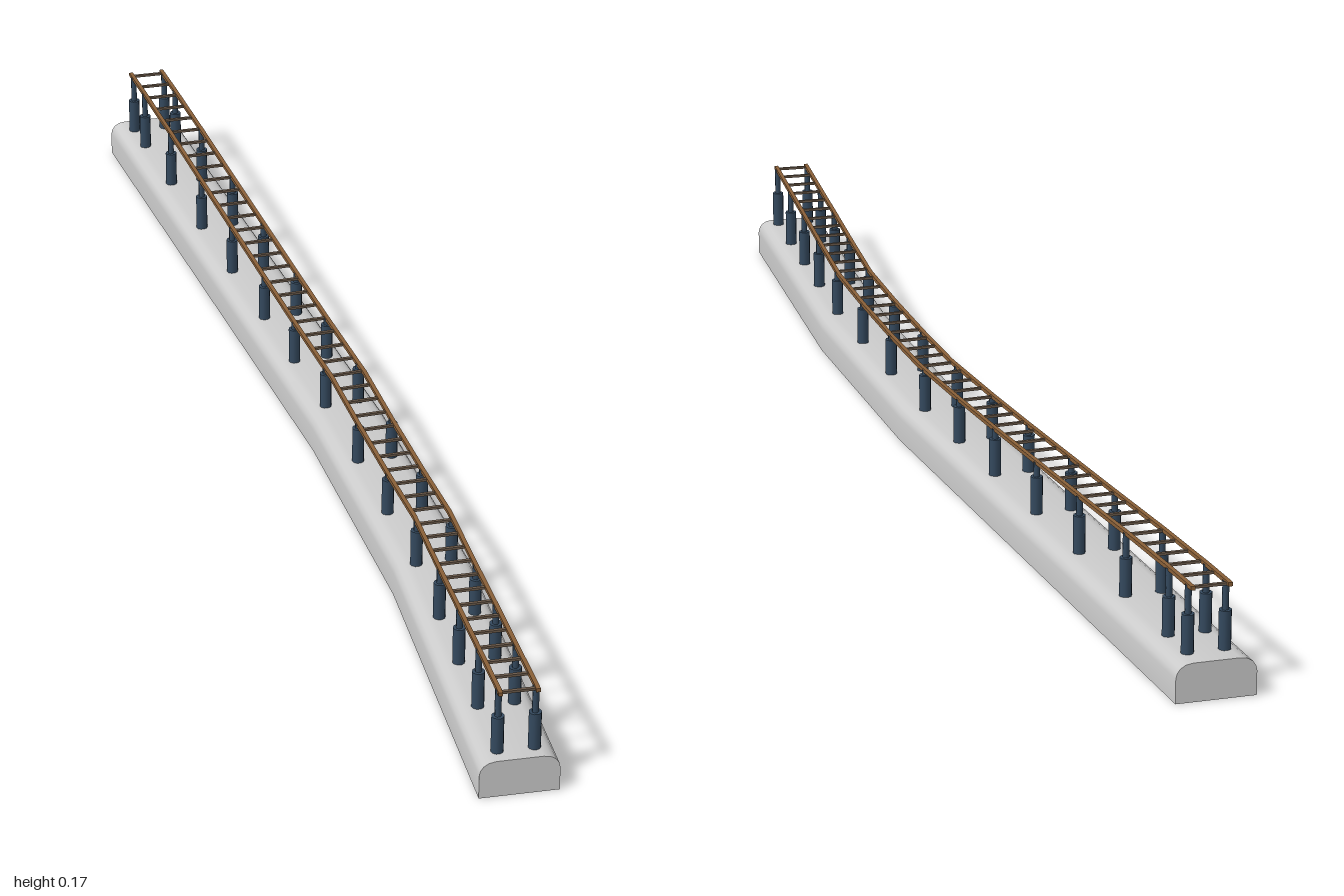
import * as THREE from 'three';
import { toCreasedNormals } from 'three/addons/utils/BufferGeometryUtils.js';

const grey = new THREE.MeshStandardMaterial({ color: 0xcccccc });
const steel = new THREE.MeshStandardMaterial({ color: 0x34495e });
const rust = new THREE.MeshStandardMaterial({ color: 0x8a6038 });
const wood = new THREE.MeshStandardMaterial({ color: 0x6b5a4a });

// Bend points of the track bed, back to front: centre x, z and half-width vector x, z
const NODES = [
  [-0.478, -0.976, 0.0555, -0.024],
  [0.066, 0.027, 0.0535, -0.0275],
  [0.264, 0.445, 0.055, -0.024],
  [0.469, 0.969, 0.0555, -0.0215],
];
// Rail height along z; a pair of posts stands at every entry
const HEIGHTS = [
  [-0.942, 0.164], [-0.882, 0.163], [-0.743, 0.158], [-0.585, 0.15], [-0.433, 0.143],
  [-0.278, 0.136], [-0.139, 0.131], [0, 0.128], [0.166, 0.126], [0.316, 0.128],
  [0.46, 0.134], [0.604, 0.142], [0.722, 0.15], [0.834, 0.157], [0.944, 0.164],
];
const RAIL = 0.46; // sideways place of rails and posts, 1 = bed edge

// Linear interpolation in a table of rows, keyed by one column
function sample(table, key, value) {
  let i = 0;
  while (i < table.length - 2 && value > table[i + 1][key]) i++;
  const a = table[i], b = table[i + 1];
  const t = (value - a[key]) / (b[key] - a[key]);
  return a.map((v, k) => v + (b[k] - v) * t);
}
const station = (z) => sample(NODES, 1, z);
const railY = (z) => Math.min(0.164, sample(HEIGHTS, 0, z)[1]);

// Point at sideways place u (-1..1) and height y of a station
const place = ([x, z, ax, az], u, y) => [x + u * ax, y, z + u * az];

// Closed convex profile [u, y] swept through stations; lift gives the height offset
function sweep(profile, stations, lift = () => 0) {
  const rings = stations.map((s) => profile.map(([u, y]) => place(s, u, y + lift(s[1]))));
  const n = profile.length;
  const pos = [];
  const tri = (...p) => p.forEach((v) => pos.push(...v));
  for (let s = 0; s < rings.length - 1; s++) {
    const a = rings[s], b = rings[s + 1];
    for (let i = 0; i < n; i++) {
      const j = (i + 1) % n;
      tri(b[i], a[i], b[j]);
      tri(a[i], a[j], b[j]);
    }
  }
  const back = rings[0], front = rings[rings.length - 1];
  for (let i = 1; i < n - 1; i++) {
    tri(front[0], front[i], front[i + 1]);
    tri(back[0], back[i + 1], back[i]);
  }
  const geo = new THREE.BufferGeometry();
  geo.setAttribute('position', new THREE.Float32BufferAttribute(pos, 3));
  return toCreasedNormals(geo, 0.6);
}

export function createModel() {
  const model = new THREE.Group();
  const add = (name, geo, mat, parent = model) => {
    const mesh = new THREE.Mesh(geo, mat);
    mesh.name = name;
    parent.add(mesh);
    return mesh;
  };
  const group = (name) => {
    const g = new THREE.Group();
    g.name = name;
    model.add(g);
    return g;
  };

  // Bed with rounded shoulders
  const shoulder = [[1, 0], [1, 0.038], [0.97, 0.046], [0.89, 0.053], [0.76, 0.058], [0.58, 0.06]];
  const mirrored = shoulder.map(([u, y]) => [-u, y]).reverse();
  add('bed', sweep([...shoulder, ...mirrored], NODES), grey);

  // Two rails following the bends and heights
  const stops = [-0.957, ...HEIGHTS.map((h) => h[0]), NODES[1][1], NODES[2][1], 0.957];
  stops.sort((a, b) => a - b);
  for (const side of [-1, 1]) {
    const u = side * RAIL, w = 0.055, h = 0.003;
    const section = [[u - w, -h], [u + w, -h], [u + w, h], [u - w, h]];
    add(side > 0 ? 'leftRail' : 'rightRail', sweep(section, stops.map(station), railY), rust);
  }

  // Rungs between the rails
  const rungs = group('rungs');
  const COUNT = 48;
  for (let i = 0; i < COUNT; i++) {
    const s = station(-0.95 + (1.9 * i) / (COUNT - 1));
    const length = 2 * RAIL * Math.hypot(s[2], s[3]);
    const rung = add('rung', new THREE.BoxGeometry(length, 0.004, 0.005), wood, rungs);
    rung.position.set(s[0], railY(s[1]) - 0.001, s[1]);
    rung.rotation.y = Math.atan2(-s[3], s[2]);
  }

  // Pairs of posts: thick sleeve with a thin rod up to the rail
  const posts = group('posts');
  const sleeve = new THREE.CylinderGeometry(0.0095, 0.0095, 0.062, 10);
  for (const [z, top] of HEIGHTS) {
    for (const side of [-1, 1]) {
      const [x, , pz] = place(station(z), side * RAIL, 0);
      add('postSleeve', sleeve, steel, posts).position.set(x, 0.089, pz);
      const rod = new THREE.CylinderGeometry(0.005, 0.005, top - 0.11, 8);
      add('postRod', rod, steel, posts).position.set(x, (top + 0.11) / 2, pz);
    }
  }
  return model;
}
